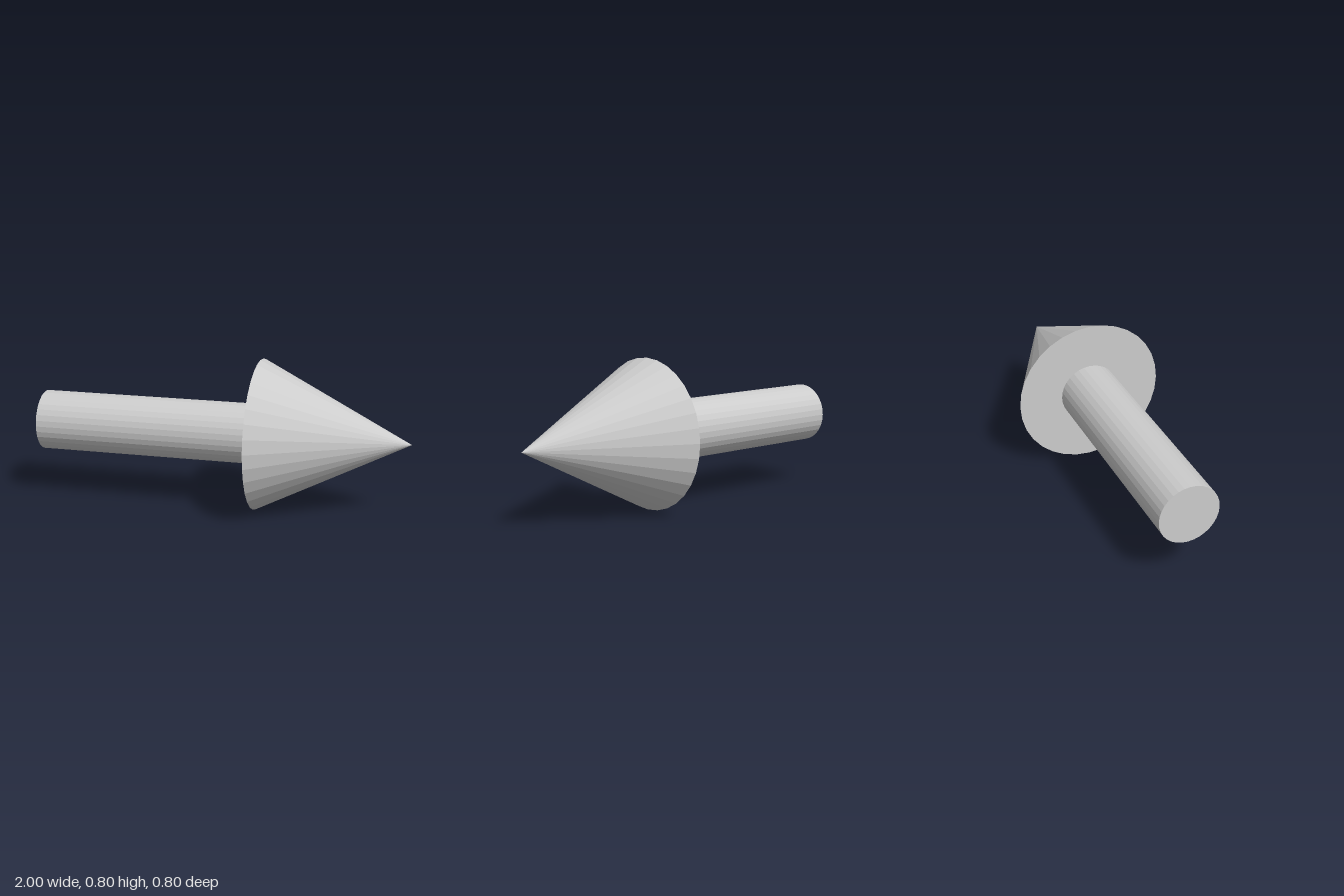
import * as THREE from 'three';

const SIDES = 32;
const AXIS_HEIGHT = 0.4;

export function createModel() {
  const model = new THREE.Group();
  model.name = 'arrow';
  const material = new THREE.MeshStandardMaterial({ color: 0xcccccc, flatShading: true });

  // Lays an upright round part along +x, spanning x0 to x1
  const addPart = (name, tipRadius, baseRadius, x0, x1) => {
    const geometry = new THREE.CylinderGeometry(tipRadius, baseRadius, x1 - x0, SIDES);
    geometry.rotateZ(-Math.PI / 2);
    const mesh = new THREE.Mesh(geometry, material);
    mesh.name = name;
    mesh.position.set((x0 + x1) / 2, AXIS_HEIGHT, 0);
    model.add(mesh);
  };

  // Straight shaft, butting against the back of the head
  addPart('shaft', 0.16, 0.16, -1, 0.2);
  // Conical head with a closed back, pointing to +x
  addPart('head', 0, 0.4, 0.2, 1);

  return model;
}
